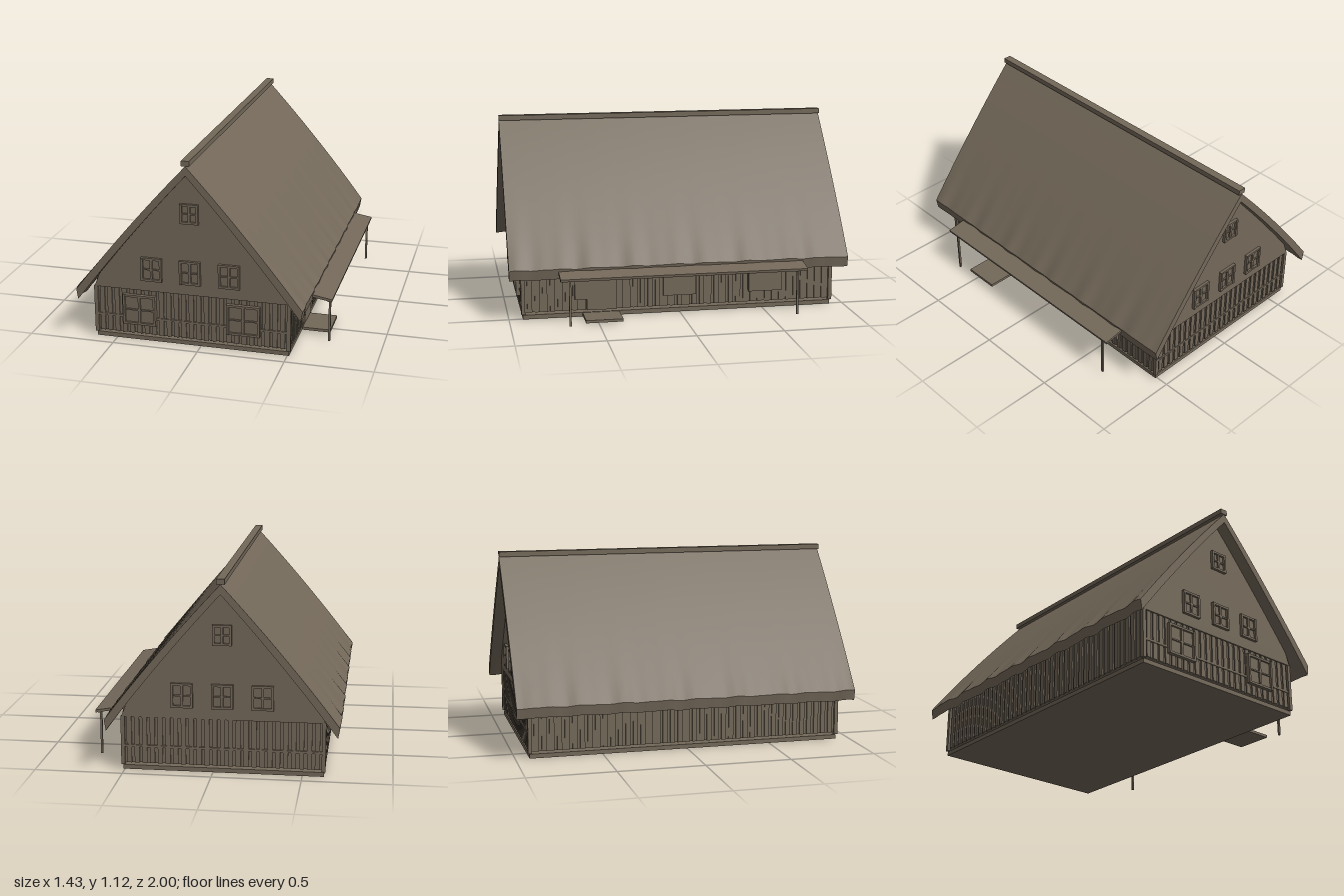
import * as THREE from 'three';
import { toCreasedNormals } from 'three/addons/utils/BufferGeometryUtils.js';

const CX = -0.055; // ridge and house axis
const HALF_W = 0.56; // wall half width
const HALF_L = 0.915; // wall half length

export function createModel() {
  const house = new THREE.Group();
  house.name = 'farmhouse';
  const wood = new THREE.MeshStandardMaterial({ color: 0x74695a });
  wood.name = 'weathered brown';

  const add = (name, geo, parent = house) => {
    const m = new THREE.Mesh(geo, wood);
    m.name = name;
    parent.add(m);
    return m;
  };
  // box given by its minimum and maximum corners
  const box = (name, x0, x1, y0, y1, z0, z1, parent = house) => {
    const m = add(name, new THREE.BoxGeometry(x1 - x0, y1 - y0, z1 - z0), parent);
    m.position.set((x0 + x1) / 2, (y0 + y1) / 2, (z0 + z1) / 2);
    return m;
  };
  const group = (name, parent = house) => {
    const g = new THREE.Group();
    g.name = name;
    parent.add(g);
    return g;
  };

  // Roof: bowed section swept along z, with gently wavy eaves
  const N = 12;
  const slope = (w, top, drop, t) => [w * t, top - drop * t + 0.07 * t * (1 - t)];
  const outer = [], inner = [];
  for (let i = 0; i <= N; i++) {
    outer.push(slope(0.655, 1.085, 0.775, i / N));
    inner.push(slope(0.645, 1.03, 0.78, i / N));
  }
  const mirror = (pts) => pts.map(([x, y]) => [-x, y]);
  const toShape = (pts) => new THREE.Shape(pts.map(([x, y]) => new THREE.Vector2(x, y)));
  const section = [
    ...outer, ...[...inner].reverse(),
    ...mirror(inner.slice(1)), ...mirror(outer.slice(1)).reverse(),
  ];
  const roofGeo = new THREE.ExtrudeGeometry(toShape(section), { depth: 2, steps: 80, bevelEnabled: false });
  roofGeo.translate(0, 0, -1);
  const p = roofGeo.attributes.position;
  for (let i = 0; i < p.count; i++) {
    const x = p.getX(i), z = p.getZ(i);
    const k = Math.pow(Math.abs(x) / 0.655, 6);
    const wave = 0.003 * Math.sin(z * 28) + 0.002 * Math.sin(z * 47 + 1);
    p.setXYZ(i, x + Math.sign(x) * k * wave, p.getY(i) + k * wave, z);
  }
  add('thatchedRoof', toCreasedNormals(roofGeo, 0.5)).position.x = CX;
  box('ridgeCap', CX - 0.023, CX + 0.023, 1.085, 1.115, -1, 1);

  // Base slab and walls, with a narrow gap between them
  box('baseSlab', CX - 0.565, CX + 0.565, 0, 0.025, -0.92, 0.92);
  for (const s of [-1, 1]) {
    const x = CX + s * (HALF_W - 0.01), z = s * (HALF_L - 0.01);
    box('sideWall', x - 0.01, x + 0.01, 0.04, 0.36, -HALF_L, HALF_L);
    box('endWall', CX - HALF_W, CX + HALF_W, 0.04, 0.32, z - 0.01, z + 0.01);
    for (const t of [-1, 1]) {
      const px = CX + s * 0.563, pz = t * 0.918;
      box('cornerPost', px - 0.011, px + 0.011, 0.03, 0.312, pz - 0.011, pz + 0.011);
    }
  }

  // Upright planks on all four walls, and a rail on each end
  const planks = group('wallPlanks');
  for (const s of [-1, 1]) {
    for (let i = 0; i < 25; i++) {
      const x = CX - 0.528 + i * 0.044, z = s * (HALF_L + 0.003);
      box('endPlank', x - 0.014, x + 0.014, 0.04, 0.31, z - 0.005, z + 0.005, planks);
    }
    for (let i = 0; i < 41; i++) {
      const z = -0.88 + i * 0.044, x = CX + s * (HALF_W + 0.003);
      box('sidePlank', x - 0.005, x + 0.005, 0.04, 0.33, z - 0.014, z + 0.014, planks);
    }
    const z = s * (HALF_L + 0.006);
    box('endRail', CX - HALF_W, CX + HALF_W, 0.133, 0.146, z - 0.006, z + 0.006);
  }

  // Window facing +z, centred on its own origin
  const makeWindow = (name, w, h, parent) => {
    const g = group(name, parent);
    const f = 0.013, a = w / 2, b = h / 2;
    box('pane', -a, a, -b, b, -0.01, 0.002, g);
    for (const s of [-1, 1]) {
      const x = s * (a - f / 2), y = s * (b - f / 2);
      box('frameUpright', x - f / 2, x + f / 2, -b, b, -0.01, 0.016, g);
      box('frameRail', -a, a, y - f / 2, y + f / 2, -0.01, 0.014, g);
    }
    box('mullion', -0.007, 0.007, -b, b, -0.01, 0.012, g);
    box('glazingBar', -a, a, -0.004, 0.004, -0.01, 0.01, g);
    return g;
  };

  // Gables: boarded triangle with one window over three
  const edge = inner.filter((_, i) => i <= N * 0.9);
  const half = [...edge, [0.57, 0.31]];
  const gableShape = toShape([...half, ...mirror(half.slice(1)).reverse()]);
  for (const s of [-1, 1]) {
    const gable = group(s > 0 ? 'frontGable' : 'backGable');
    gable.position.x = CX;
    gable.rotation.y = s > 0 ? 0 : Math.PI;
    const wall = new THREE.ExtrudeGeometry(gableShape, { depth: 0.025, bevelEnabled: false });
    add('gableWall', wall, gable).position.z = 0.905;
    for (const x of [-0.225, 0, 0.225]) {
      makeWindow('gableWindow', 0.122, 0.14, gable).position.set(x, 0.445, 0.932);
    }
    makeWindow('atticWindow', 0.106, 0.115, gable).position.set(0, 0.793, 0.932);
  }

  // Large windows on the front
  for (const x of [-0.357, 0.25]) {
    makeWindow('frontWindow', 0.192, 0.18, house).position.set(x, 0.19, 0.93);
  }

  // Shuttered openings and door on the left side
  for (const [z0, z1] of [[-0.615, -0.415], [-0.095, 0.1], [0.55, 0.62]]) {
    box('shutter', 0.505, 0.528, 0.105, 0.27, z0, z1);
  }
  box('door', 0.505, 0.525, 0.04, 0.27, 0.375, 0.55);
  box('doorStep', 0.515, 0.68, 0.008, 0.024, 0.36, 0.575);

  // Sloping canopy on two posts
  const canopy = add('canopy', new THREE.BoxGeometry(0.205, 0.015, 1.44));
  canopy.position.set(0.61, 0.287, 0);
  canopy.rotation.z = -0.17;
  box('canopyBeam', 0.684, 0.696, 0.262, 0.272, -0.72, 0.72);
  for (const z of [-0.665, 0.665]) {
    box('canopyPost', 0.684, 0.696, 0, 0.27, z - 0.006, z + 0.006);
  }

  return house;
}
